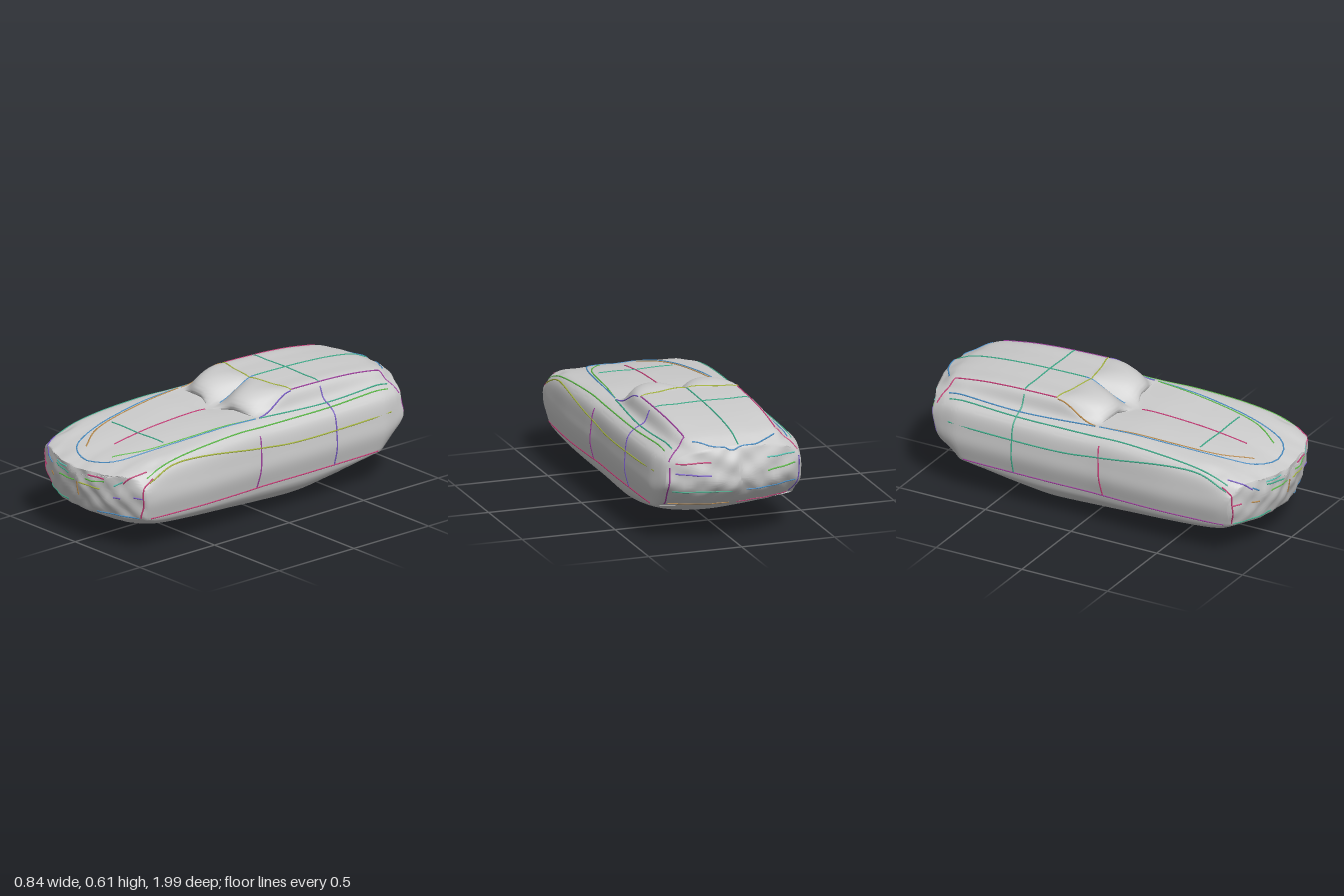
import * as THREE from 'three';
import { toCreasedNormals } from 'three/addons/utils/BufferGeometryUtils.js';

// z, belly y, half width, shoulder y, cabin base x, y, roof edge x, y, centre y
const STATIONS = [
  [1, .17, .395, .41, .26, .41, .2, .402, .395],
  [.85, .10, .406, .452, .28, .45, .22, .446, .442],
  [.7, .07, .412, .476, .28, .475, .23, .473, .47],
  [.45, .047, .421, .495, .29, .50, .25, .50, .498],
  [.2, .025, .416, .503, .30, .515, .27, .515, .508],
  [.04, .01, .41, .5, .305, .515, .28, .514, .504],
  [-.2, 0, .413, .498, .305, .52, .27, .595, .607],
  [-.45, .044, .411, .498, .305, .52, .265, .59, .603],
  [-.6, .095, .409, .498, .303, .52, .26, .582, .596],
  [-.75, .145, .404, .497, .30, .52, .255, .567, .584],
  [-.9, .175, .384, .49, .28, .512, .243, .548, .562],
  [-1, .18, .367, .47, .25, .492, .2, .505, .522],
];
const SILL = 0.18, MID = 0.36;

// Smooth interpolation of the stations without overshoot
function station(z) {
  let i = 0;
  while (i < STATIONS.length - 2 && z < STATIONS[i + 1][0]) i++;
  const a = STATIONS[i], b = STATIONS[i + 1], h = b[0] - a[0], t = (z - a[0]) / h;
  const slope = (n, k) => (STATIONS[n + 1][k] - STATIONS[n][k]) / (STATIONS[n + 1][0] - STATIONS[n][0]);
  const tangent = (n, k) => {
    const p = slope(Math.max(n - 1, 0), k), q = slope(Math.min(n, STATIONS.length - 2), k);
    return p * q > 0 ? 2 * p * q / (p + q) : 0;
  };
  return a.map((v, k) => v + (b[k] - v) * t * t * (3 - 2 * t)
    + h * t * (1 - t) * (tangent(i, k) * (1 - t) - tangent(i + 1, k) * t));
}

// Closed cross-section, from the keel up the left side and down the right
function section(z) {
  const [, belly, w, sh, bx, by, rx, ry, top] = station(z);
  const half = [];
  for (let i = 0; i < 12; i++) {
    const a = (i / 12) * Math.PI / 2;
    half.push([(w - .025) * Math.sin(a), SILL - (SILL - belly) * Math.cos(a)]);
  }
  const upper = new THREE.CatmullRomCurve3([
    [w - .025, SILL], [w, .28], [w - .002, .35], [w - .018, sh - .045], [w - .055, sh - .007],
    [bx, by], [rx, ry], [rx * .5, (ry + top) / 2 + .003], [0, top],
  ].map(([x, y]) => new THREE.Vector3(x, y, 0)), false, 'centripetal');
  for (let i = 0; i <= 48; i++) {
    const p = upper.getPoint(i / 48);
    half.push([p.x, p.y]);
  }
  const mirrored = half.slice(1, -1).reverse().map(([x, y]) => [-x, y]);
  return [...half, ...mirrored];
}

// Two windscreen lobes swelling forward over a cowl that is pointed in the middle
function windscreenSwell(x, y, z) {
  const v = (.04 - z) / .24, ax = Math.abs(x);
  if (y < .495 || ax > .28 || v > 1 || v < -.6) return [0, 0];
  const point = .07 * Math.max(0, 1 - ax / .12) * (v < 0 ? 1 + v / .6 : (1 - v) ** 3);
  const swell = v < 0 ? 0 : .105 * Math.sin(Math.PI * ax / .28) ** .85 * Math.sin(Math.PI * v) ** .75;
  return [swell * .28, swell * .95 + point];
}

// Bows the nose and tail round, roughens them slightly and dents the lamp corners
function place(x, y, z) {
  const w = Math.max(0, (Math.abs(z) - .6) / .4) ** 2;
  const d = y - MID;
  const bow = .13 * (x / .4) ** 2 + d * d * (z < 0 && d < 0 ? 5 : 1.2);
  const rough = .007 * w * Math.sin(x * 40) * Math.sin(y * 45 + Math.abs(x) * 15);
  const dent = y > .4 ? .015 * Math.exp(-(((Math.abs(x) - .345) / .025) ** 2) - ((z - .8) / .08) ** 2) : 0;
  const [rise, push] = windscreenSwell(x, y, z);
  return [x, y - dent + rise, z * .99 - Math.sign(z) * (bow * w - rough) + push];
}

function bodyGeometry() {
  const rings = [];
  const addRing = (z, s) => rings.push(section(z).map(([x, y]) => place(x * s, MID + (y - MID) * s, z)));
  for (let i = 0; i < 12; i++) addRing(1, .01 + i / 12);
  for (let i = 0; i <= 200; i++) addRing(1 - i / 100, 1);
  for (let i = 11; i >= 0; i--) addRing(-1, .01 + i / 12);
  const n = rings[0].length, index = [];
  for (let i = 0; i < rings.length - 1; i++) {
    for (let j = 0; j < n; j++) {
      const k = (j + 1) % n;
      const a = i * n + j, b = i * n + k, c = a + n, d = b + n;
      index.push(a, c, b, b, c, d);
    }
  }
  const geo = new THREE.BufferGeometry();
  geo.setAttribute('position', new THREE.Float32BufferAttribute(rings.flat(2), 3));
  geo.setIndex(index);
  return toCreasedNormals(geo, 1);
}

export function createModel() {
  const model = new THREE.Group();
  const grey = new THREE.MeshStandardMaterial({ color: 0xcccccc, side: THREE.DoubleSide });
  const body = new THREE.Mesh(bodyGeometry(), grey);
  body.name = 'body';
  model.add(body);
  model.updateMatrixWorld(true);

  // Coloured seam lines, laid on the surface along a casting direction
  const COLORS = {
    blue: 0x4a90c8, teal: 0x3fae8c, pink: 0xc83c78, orange: 0xb98a4a, green: 0x5fbf4a,
    yellow: 0xa8b840, violet: 0x7a5cc8, purple: 0xa040a0, aqua: 0x5cc8b8,
  };
  const mats = {};
  const ray = new THREE.Raycaster();
  const DIRS = { down: [0, -1, 0], back: [0, 0, -1], fore: [0, 0, 1] };
  function line(name, color, dir, pts) {
    const path = new THREE.CatmullRomCurve3(pts.map(p => new THREE.Vector3(...p)));
    const laid = path.getPoints(20).map(p => {
      const d = new THREE.Vector3(...(dir === 'side' ? [-Math.sign(p.x), 0, 0] : DIRS[dir]));
      ray.set(p.clone().addScaledVector(d, -2), d);
      const hit = ray.intersectObject(body)[0];
      return hit ? hit.point : p;
    });
    mats[color] ??= new THREE.MeshStandardMaterial({ color: COLORS[color] });
    const mesh = new THREE.Mesh(
      new THREE.TubeGeometry(new THREE.CatmullRomCurve3(laid), 40, .004, 6), mats[color]);
    mesh.name = name;
    model.add(mesh);
  }
  function pair(name, leftColor, rightColor, dir, pts) {
    line(name + 'Left', leftColor, dir, pts);
    line(name + 'Right', rightColor, dir, pts.map(([x, y, z]) => [-x, y, z]));
  }

  // Centre and cross seams
  line('roofCentreSeam', 'teal', 'down', [[0, .6, -.2], [0, .6, -.95]]);
  line('windscreenCentreSeam', 'blue', 'down', [[0, .5, .03], [0, .6, -.2]]);
  line('bonnetCentreSeam', 'pink', 'down', [[0, .5, .13], [0, .46, .74]]);
  line('roofCrossSeam', 'teal', 'down', [[-.26, .6, -.41], [.26, .6, -.41]]);
  line('bonnetCrossSeam', 'teal', 'down', [[-.2, .5, .58], [.2, .5, .58]]);
  line('windscreenTopSeam', 'yellow', 'down', [[-.265, .6, -.22], [0, .6, -.17], [.265, .6, -.22]]);
  line('rearWindowSeam', 'blue', 'down', [[-.22, .55, -.87], [-.08, .55, -.95], [.08, .55, -.95], [.22, .55, -.87]]);

  // Bonnet outlines
  line('bonnetOutline', 'blue', 'down', [[-.3, .5, .05], [-.27, .5, .4], [-.21, .5, .72], [-.14, .5, .87],
    [0, .5, .92], [.14, .5, .87], [.21, .5, .72], [.27, .5, .4], [.3, .5, .05]]);
  pair('bonnetInnerSeam', 'green', 'orange', 'down', [[.3, .5, .05], [.28, .5, .2], [.2, .5, .68], [.1, .5, .84]]);

  // Cabin and flank seams
  pair('windscreenPillar', 'violet', 'orange', 'down', [[.268, .6, -.21], [.3, .52, .03]]);
  pair('roofRail', 'purple', 'pink', 'down', [[.26, .6, -.22], [.255, .6, -.5], [.245, .57, -.82]]);
  pair('rearPillar', 'purple', 'pink', 'down', [[.245, .57, -.82], [.345, .5, -.87]]);
  pair('windowBaseSeam', 'teal', 'blue', 'down', [[.305, .5, .03], [.33, .5, -.4], [.31, .5, -.82]]);
  pair('fenderSeam', 'green', 'teal', 'down', [[.37, .45, .84], [.37, .49, .5], [.36, .5, .1], [.36, .5, -.4], [.34, .5, -.8]]);
  pair('beltSeam', 'yellow', 'teal', 'side', [[.4, .38, .84], [.4, .44, .7], [.4, .45, .5], [.4, .4, .1], [.4, .38, -.1], [.4, .38, -.78]]);
  pair('sillSeam', 'pink', 'purple', 'side', [[.4, .185, .82], [.4, .185, 0], [.4, .185, -.7]]);
  pair('frontDoorSeam', 'purple', 'pink', 'side', [[.4, .19, .12], [.4, .3, .11], [.4, .46, .1]]);
  pair('rearDoorSeam', 'violet', 'teal', 'side', [[.4, .19, -.4], [.4, .45, -.4], [.3, .58, -.4]]);
  pair('frontCornerSeam', 'pink', 'pink', 'back', [[.35, .19, .9], [.375, .28, .9], [.385, .4, .9]]);

  // Nose: lamps, grille and bumper lines
  pair('lampUpperSeam', 'pink', 'violet', 'back', [[.35, .43, .9], [.31, .4, .9], [.28, .37, .9]]);
  pair('lampLowerSeam', 'aqua', 'blue', 'back', [[.28, .38, .9], [.235, .35, .9]]);
  pair('grilleTopSeam', 'pink', 'aqua', 'back', [[.08, .38, 1], [.185, .38, 1]]);
  pair('grilleMiddleSeam', 'green', 'teal', 'back', [[.06, .353, 1], [.12, .355, 1], [.185, .367, 1]]);
  pair('grilleBottomSeam', 'yellow', 'green', 'back', [[.02, .325, 1], [.155, .32, 1]]);
  line('noseCentreSeam', 'orange', 'back', [[0, .25, 1], [0, .325, 1]]);
  pair('sideIntakeSeam', 'violet', 'pink', 'back', [[.33, .303, 1], [.38, .3, 1]]);
  pair('foglampSeam', 'violet', 'orange', 'back', [[.225, .285, 1], [.27, .29, 1]]);
  pair('bumperLowerSeam', 'blue', 'teal', 'back', [[.11, .185, 1], [.34, .185, 1]]);

  // Tail: lamps, bumper and corner lines
  pair('tailLampTopSeam', 'pink', 'aqua', 'fore', [[.15, .45, -1], [.32, .44, -1]]);
  pair('tailLampBottomSeam', 'violet', 'green', 'fore', [[.15, .38, -1], [.32, .39, -1]]);
  pair('tailBumperSeam', 'teal', 'blue', 'fore', [[.04, .29, -1], [.33, .29, -1]]);
  pair('tailLowerSeam', 'orange', 'pink', 'fore', [[.02, .2, -1], [.32, .2, -1]]);
  pair('tailCornerSeam', 'purple', 'violet', 'fore', [[.335, .2, -1], [.35, .3, -1], [.345, .42, -1]]);
  return model;
}
